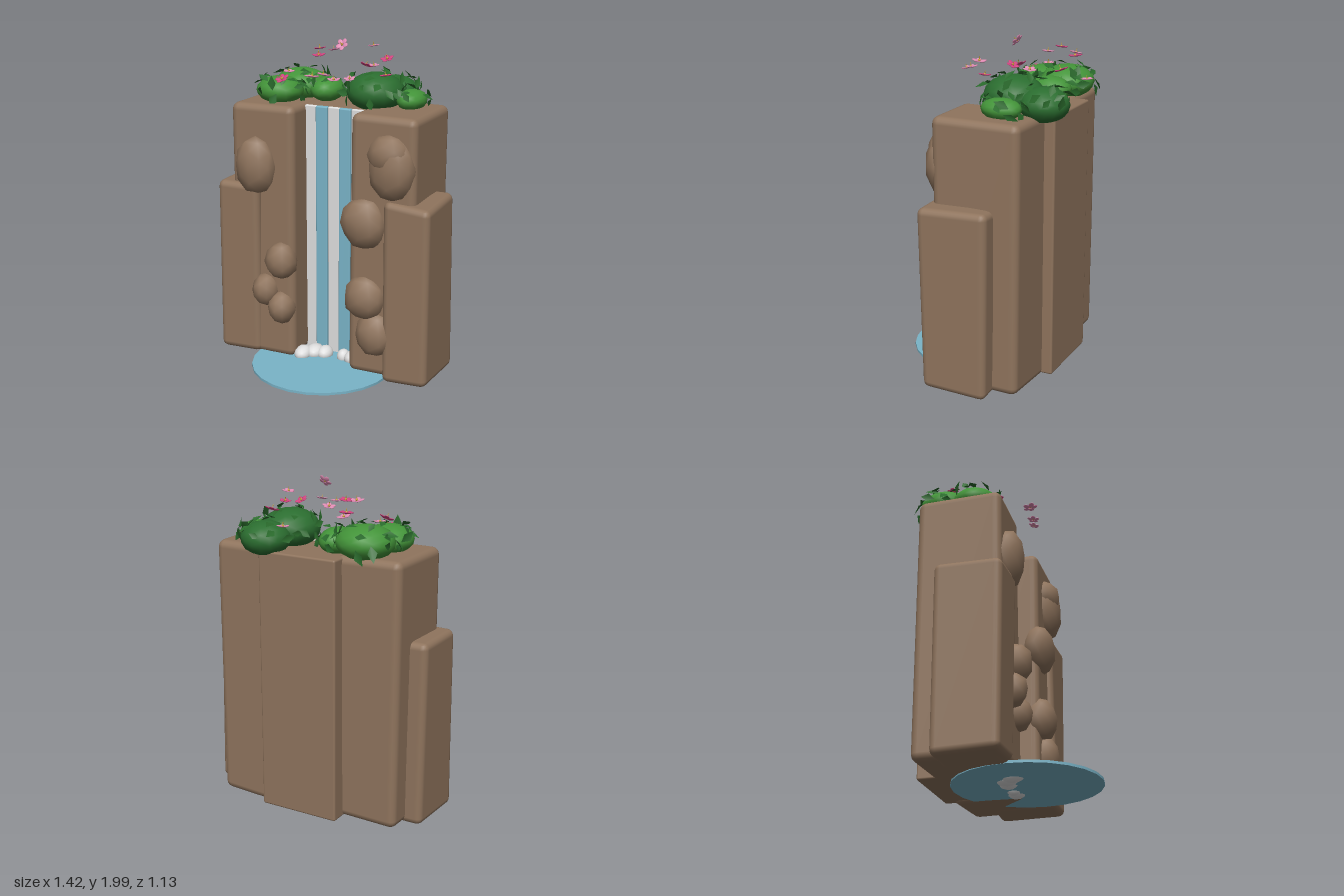
import * as THREE from 'three';
import { mergeVertices, mergeGeometries } from 'three/addons/utils/BufferGeometryUtils.js';
import { RoundedBoxGeometry } from 'three/addons/geometries/RoundedBoxGeometry.js';

const material = (name, color, side = THREE.FrontSide) => {
  const m = new THREE.MeshStandardMaterial({ color, side });
  m.name = name;
  return m;
};

export function createModel() {
  const model = new THREE.Group();
  model.name = 'waterfallCliff';

  const rock = material('brown rock', 0x8f745d);
  const water = material('blue water', 0x7ab4c8);
  const foam = material('white foam', 0xdedede);
  const green = material('bright green', 0x439439);
  const darkGreen = material('dark green', 0x2b6e30);
  const leafGreen = material('leaf green', 0x2a6b2c, THREE.DoubleSide);
  const hotPink = material('hot pink', 0xd0437f);
  const palePink = material('pale pink', 0xe08cb4);
  const gold = material('gold', 0xc9a03a);

  let seed = 7;
  const rand = () => (seed = (seed * 16807) % 2147483647) / 2147483647;
  const jitter = (a) => (rand() - 0.5) * 2 * a;

  const add = (name, geometry, mat, x = 0, y = 0, z = 0, parent = model) => {
    const mesh = new THREE.Mesh(geometry, mat);
    mesh.name = name;
    mesh.position.set(x, y, z);
    parent.add(mesh);
    return mesh;
  };

  // Rounded block between two corners, its eight corners pushed slightly out of square
  function block(name, mat, [x0, y0, z0], [x1, y1, z1], radius, rough) {
    const w = x1 - x0, h = y1 - y0, d = z1 - z0;
    const geo = new RoundedBoxGeometry(w, h, d, 2, radius);
    const corners = Array.from({ length: 8 }, () =>
      new THREE.Vector3(jitter(rough), jitter(rough), jitter(rough)));
    const p = geo.attributes.position;
    for (let i = 0; i < p.count; i++) {
      const x = p.getX(i), y = p.getY(i), z = p.getZ(i);
      const u = [x / w + 0.5, y / h + 0.5, z / d + 0.5];
      const v = new THREE.Vector3(x, y, z);
      corners.forEach((c, k) => {
        let weight = 1;
        for (let a = 0; a < 3; a++) weight *= (k >> a) & 1 ? u[a] : 1 - u[a];
        v.addScaledVector(c, weight);
      });
      p.setXYZ(i, v.x, v.y, v.z);
    }
    return add(name, geo, mat, (x0 + x1) / 2, (y0 + y1) / 2, (z0 + z1) / 2);
  }

  // Smooth ellipsoid lump with an uneven surface
  function lump(name, mat, [x, y, z], [rx, ry, rz], detail, rough) {
    let geo = new THREE.IcosahedronGeometry(1, detail);
    geo.deleteAttribute('normal');
    geo.deleteAttribute('uv');
    geo = mergeVertices(geo, 1e-3);
    const p = geo.attributes.position;
    for (let i = 0; i < p.count; i++) {
      const s = 1 + jitter(rough);
      p.setXYZ(i, p.getX(i) * s * rx, p.getY(i) * s * ry, p.getZ(i) * s * rz);
    }
    geo.computeVertexNormals();
    return add(name, geo, mat, x, y, z);
  }

  // Cliff: back slab, tall pillars and lower side pillars
  block('backSlab', rock, [-0.25, 0.04, -0.44], [0.25, 1.6, -0.05], 0.012, 0);
  block('rightTallPillar', rock, [-0.6, 0.03, -0.36], [-0.19, 1.615, 0.145], 0.045, 0.012);
  block('leftTallPillar', rock, [0.18, 0.03, -0.375], [0.595, 1.615, 0.15], 0.045, 0.012);
  block('rightSidePillar', rock, [-0.7, 0.025, -0.22], [-0.41, 1.135, 0.18], 0.04, 0.012);
  block('leftSidePillar', rock, [0.41, 0.02, -0.22], [0.7, 1.125, 0.19], 0.04, 0.012);

  // Boulders on the cliff front: x, y, rx, ry
  [
    [-0.44, 1.24, 0.135, 0.18], [-0.275, 0.66, 0.1, 0.12], [-0.38, 0.46, 0.085, 0.108],
    [-0.275, 0.36, 0.088, 0.105], [0.43, 1.4, 0.13, 0.12], [0.45, 1.32, 0.145, 0.19],
    [0.275, 0.98, 0.143, 0.158], [0.285, 0.52, 0.13, 0.14], [0.355, 0.3, 0.12, 0.14],
  ].forEach(([x, y, rx, ry]) => lump('boulder', rock, [x, y, 0.14], [rx, ry, 0.1], 1, 0.05));

  // Falling water in alternating strips
  for (let i = 0; i < 5; i++) {
    const x = -0.2 + i * 0.077, blue = i % 2 === 1;
    block('waterStrip', blue ? water : foam,
      [x, 0.035, -0.055], [x + 0.077, 1.6, blue ? -0.02 : -0.03], 0.008, 0);
  }

  // Pond disc
  add('pond', new THREE.CylinderGeometry(0.433, 0.433, 0.015, 24), water, 0, 0.037, 0.13);

  // Foam stones at the foot of the fall
  [
    [-0.155, 0.09, 0.055, 0.07], [-0.1, 0.04, 0.06, 0.07], [-0.035, 0.03, 0.05, 0.06],
    [0.09, 0.025, 0.04, 0.045], [0.155, 0.025, 0.055, 0.06],
  ].forEach(([x, z, r, rz]) => lump('foamStone', foam, [x, 0.055, z], [r, 0.047, rz], 2, 0.02));

  // Folded diamond leaf, lying along +y and facing +z
  const leafGeo = new THREE.BufferGeometry();
  leafGeo.setAttribute('position', new THREE.Float32BufferAttribute(
    [0, 0, 0, 0.024, 0.04, 0.008, 0, 0.085, 0, -0.024, 0.04, 0.008], 3));
  leafGeo.setIndex([0, 1, 2, 0, 2, 3]);
  leafGeo.computeVertexNormals();

  // Bush with leaves scattered over its upper surface
  function bush(mat, centre, radii, leaves) {
    lump('bush', mat, centre, radii, 2, 0.012);
    const r = new THREE.Vector3(...radii), parts = [];
    for (let i = 0; i < leaves; i++) {
      const y = -0.25 + 1.2 * ((i + 0.5) / leaves), a = i * 2.4 + jitter(0.5);
      const s = Math.sqrt(1 - y * y);
      const dir = new THREE.Vector3(Math.cos(a) * s, y, Math.sin(a) * s);
      const normal = dir.clone().divide(r).normalize();
      const dummy = new THREE.Object3D();
      dummy.position.copy(dir).multiply(r).add(new THREE.Vector3(...centre));
      dummy.quaternion.setFromUnitVectors(new THREE.Vector3(0, 0, 1), normal);
      dummy.rotateZ(rand() * Math.PI * 2);
      dummy.rotateX(0.05 + rand() * 0.3);
      dummy.scale.setScalar(0.75 + rand() * 0.4);
      dummy.updateMatrix();
      parts.push(leafGeo.clone().applyMatrix4(dummy.matrix));
    }
    add('bushLeaves', mergeGeometries(parts), leafGreen);
  }
  bush(green, [-0.34, 1.68, -0.26], [0.17, 0.1, 0.165], 24);
  bush(green, [-0.385, 1.67, -0.07], [0.145, 0.085, 0.14], 18);
  bush(green, [-0.15, 1.665, -0.235], [0.1, 0.075, 0.13], 14);
  bush(darkGreen, [0.2, 1.69, -0.17], [0.172, 0.115, 0.175], 24);
  bush(darkGreen, [0.24, 1.66, -0.37], [0.145, 0.1, 0.145], 18);
  bush(green, [0.42, 1.655, -0.195], [0.085, 0.062, 0.12], 12);

  // Five-petal blossom facing +y
  const petals = mergeGeometries(Array.from({ length: 5 }, (_, i) =>
    new THREE.SphereGeometry(1, 8, 6).scale(0.0145, 0.004, 0.0175)
      .rotateX(-0.2).translate(0, 0.003, 0.022).rotateY(i * Math.PI * 0.4)));
  const heart = mergeGeometries([
    new THREE.SphereGeometry(0.007, 8, 6).translate(0, 0.005, 0),
    new THREE.CylinderGeometry(0.002, 0.002, 0.026, 5).translate(0, 0.013, 0),
  ]);
  // x, y, z, hot pink or not, scale
  [
    [0.02, 1.775, -0.53, 0, 0.95], [0.155, 1.84, -0.43, 1, 1.1], [0.11, 1.93, -0.33, 0, 0.95],
    [-0.18, 1.88, -0.38, 0, 1], [-0.265, 1.845, -0.34, 1, 1.1], [-0.22, 1.9, -0.27, 1, 1],
    [-0.36, 1.77, -0.13, 0, 0.95], [-0.37, 1.74, -0.05, 1, 0.8], [-0.31, 1.755, 0.04, 1, 1.15],
    [-0.12, 1.77, -0.115, 0, 1.1], [0.015, 1.96, -0.1, 0, 1.05], [0.15, 1.845, -0.135, 1, 1],
    [0.32, 1.81, -0.045, 1, 0.95], [-0.04, 1.81, 0.175, 0, 1.2], [0.09, 1.8, 0.16, 0, 1],
    [0.18, 1.81, 0.14, 0, 0.9],
  ].forEach(([x, y, z, hot, s], i) => {
    const flower = new THREE.Group();
    flower.name = 'blossom';
    flower.position.set(x, y, z);
    flower.rotation.set(i === 10 ? 0.95 : jitter(0.35), rand() * 1.2, jitter(0.35));
    flower.scale.setScalar(s);
    add('petals', petals, hot ? hotPink : palePink, 0, 0, 0, flower);
    add('flowerHeart', heart, gold, 0, 0, 0, flower);
    model.add(flower);
  });

  return model;
}
